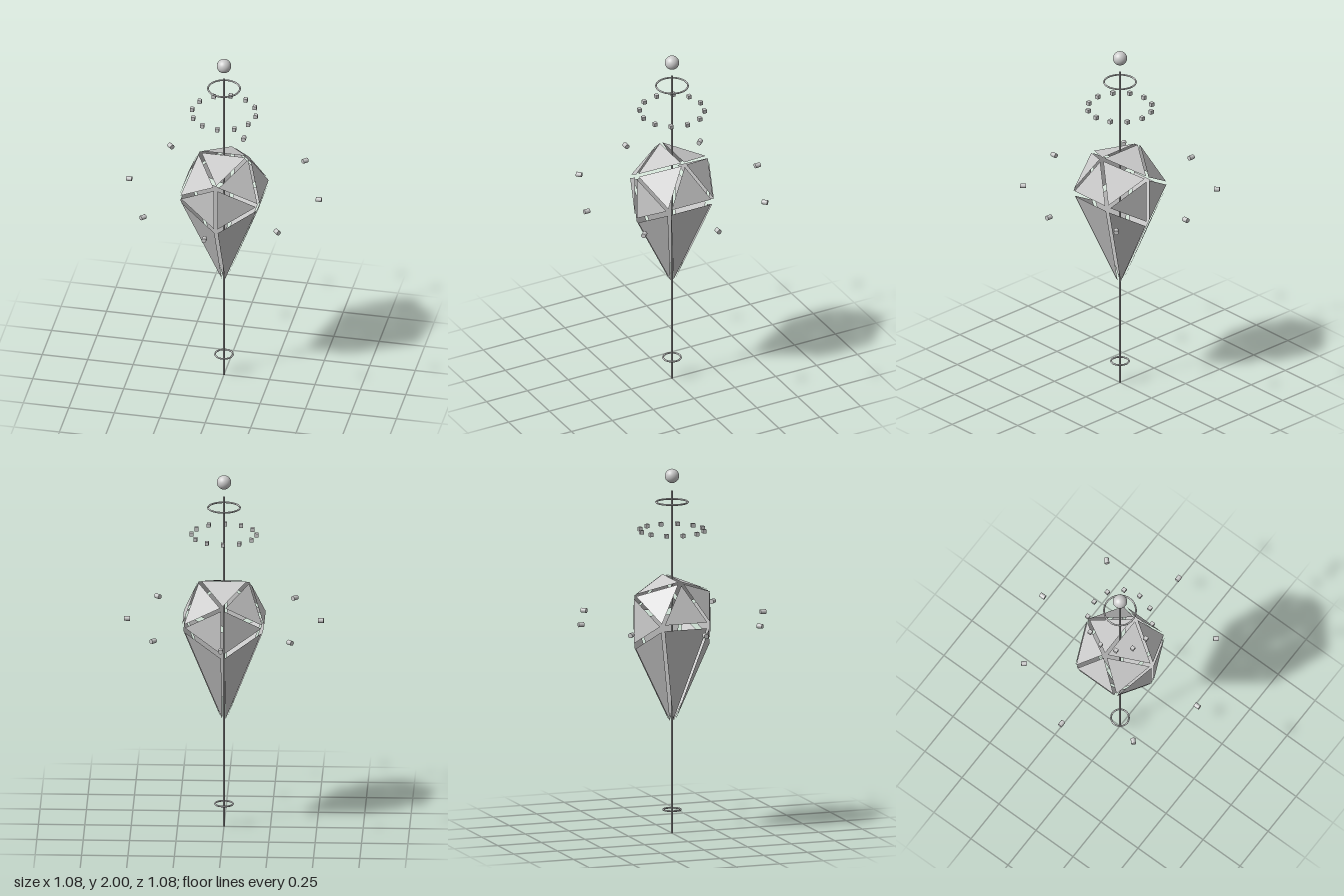
import * as THREE from 'three';

export function createModel() {
  const model = new THREE.Group();
  const smooth = new THREE.MeshStandardMaterial({ color: 0xcccccc });
  const panelMat = new THREE.MeshStandardMaterial({ color: 0xcccccc, flatShading: true, side: THREE.DoubleSide });
  const add = (name, geometry, x, y, z, parent = model, material = smooth) => {
    const mesh = new THREE.Mesh(geometry, material);
    mesh.name = name;
    mesh.position.set(x, y, z);
    parent.add(mesh);
    return mesh;
  };
  const group = (name) => {
    const g = new THREE.Group();
    g.name = name;
    model.add(g);
    return g;
  };
  const CORE_Y = 1.18;

  // Central rod, tip ball and the two level rings
  add('rod', new THREE.CylinderGeometry(0.005, 0.005, 1.88, 12), 0, 0.94, 0);
  add('tipBall', new THREE.SphereGeometry(0.0385, 32, 20), 0, 1.9615, 0);
  for (const [name, radius, y] of [['upperRing', 0.086, 1.818], ['lowerRing', 0.048, 0.13]]) {
    add(name, new THREE.TorusGeometry(radius, 0.0047, 10, 64).rotateX(Math.PI / 2), 0, y, 0);
  }

  // Crystal: icosahedron faces drawn down to one point, each shrunk to leave gaps
  const crystal = group('crystal');
  crystal.position.y = CORE_Y;
  const source = new THREE.IcosahedronGeometry(0.263, 0).getAttribute('position');
  const apex = new THREE.Vector3(0, -0.605, 0);
  for (let i = 0; i < source.count; i += 3) {
    const corners = [0, 1, 2].map((k) => {
      const v = new THREE.Vector3().fromBufferAttribute(source, i + k);
      return v.y < -0.2 ? apex.clone() : v;
    });
    // Skip faces that collapse at the point
    if (corners.filter((v) => v.equals(apex)).length > 1) continue;
    const centre = new THREE.Vector3();
    corners.forEach((v) => centre.addScaledVector(v, 1 / 3));
    corners.forEach((v) => v.sub(centre).multiplyScalar(0.88));
    const geometry = new THREE.BufferGeometry().setFromPoints(corners);
    geometry.computeVertexNormals();
    add('crystalPanel', geometry, centre.x, centre.y, centre.z, crystal, panelMat);
  }

  // Circle of small cubes above the crystal
  const cubes = group('cubeCircle');
  const cube = new THREE.BoxGeometry(0.021, 0.021, 0.021);
  for (let i = 0; i < 12; i++) {
    const a = (i * Math.PI) / 6;
    add('smallCube', cube, 0.175 * Math.cos(a), 1.664, 0.175 * Math.sin(a), cubes);
  }

  // Outer circle of short pegs pointing at the crystal
  const pegs = group('pegCircle');
  const peg = new THREE.CylinderGeometry(0.013, 0.013, 0.031, 16).rotateZ(Math.PI / 2);
  for (let i = 0; i < 8; i++) {
    const a = (i * Math.PI) / 4;
    add('peg', peg, 0.522 * Math.cos(a), CORE_Y, 0.522 * Math.sin(a), pegs).rotation.y = -a;
  }

  return model;
}
